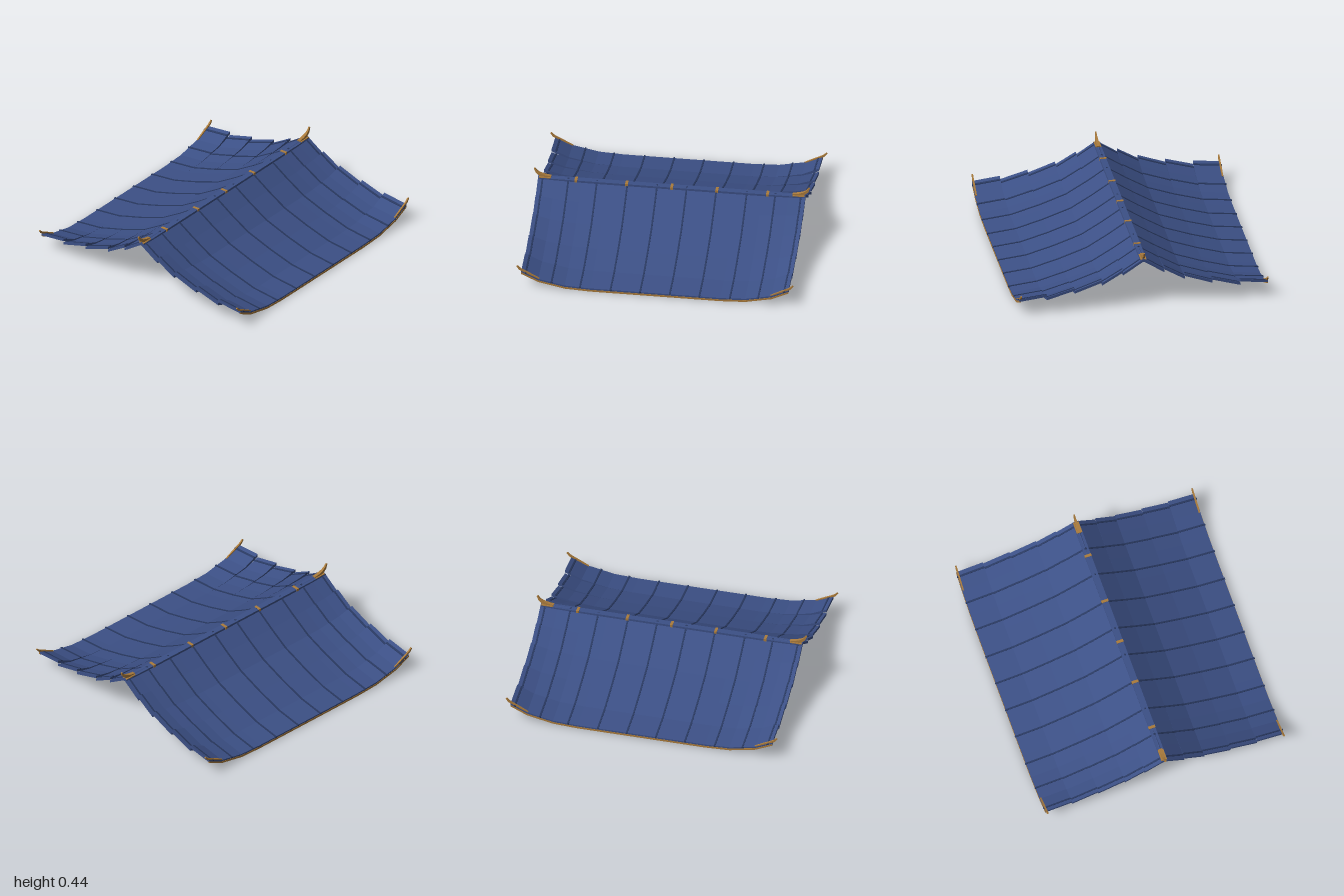
import * as THREE from 'three';

const blue = new THREE.MeshStandardMaterial({ color: 0x3c5086 });
blue.name = 'blue tile';
const navy = new THREE.MeshStandardMaterial({ color: 0x293961 });
navy.name = 'dark blue rib';
const gold = new THREE.MeshStandardMaterial({ color: 0xaa7b3c });
gold.name = 'gold trim';

// Underside profile from ridge to eave, and how far each course lifts at the ends
const PROFILE = [[0, 0.345], [0.15, 0.246], [0.3, 0.157], [0.5, 0.086], [0.7, 0.028], [0.9, 0.005]];
const LIFTS = [0.01, 0.033, 0.056, 0.08, 0.107];
const THICK = 0.02;
const CURVE = [[0, 0], [0.47, 0], [0.65, 0.08], [0.84, 0.45], [0.965, 1]];
const XS = [-0.963, -0.84, -0.65, -0.47, 0.47, 0.65, 0.84, 0.963];

// Upturn of the roof towards its ends, 0 to 1
function upturn(x) {
  const a = Math.abs(x);
  let i = 1;
  while (i < CURVE.length - 1 && a > CURVE[i][0]) i++;
  const [x0, y0] = CURVE[i - 1], [x1, y1] = CURVE[i];
  return y0 + (y1 - y0) * (a - x0) / (x1 - x0);
}

// Box bent along x: corner(i, top, outer) gives each section corner as [x, y, z]
function bentBox(sections, corner) {
  const n = sections - 1;
  const geo = new THREE.BoxGeometry(1, 1, 1, n, 1, 1);
  const p = geo.attributes.position;
  for (let k = 0; k < p.count; k++) {
    const i = Math.round((p.getX(k) + 0.5) * n);
    p.setXYZ(k, ...corner(i, p.getY(k) > 0, p.getZ(k) > 0));
  }
  const flat = geo.toNonIndexed();
  flat.computeVertexNormals();
  return flat;
}

// Slab over one course of the slope, between low and high above the underside
function courseSlab(xs, c, low, high, overhang = 0) {
  return bentBox(xs.length, (i, top, outer) => {
    const [z, y] = PROFILE[outer ? c + 1 : c];
    const last = outer && c === LIFTS.length - 1;
    return [xs[i], y + LIFTS[c] * upturn(xs[i]) + (top ? high : low), z + (last ? overhang : 0)];
  });
}

// Tapered curved horn, path points are [x, y, half height, half width]
function horn(path, z) {
  return bentBox(path.length, (i, top, outer) => {
    const [x, y, h, w] = path[i];
    const a = path[Math.max(i - 1, 0)], b = path[Math.min(i + 1, path.length - 1)];
    const d = Math.hypot(b[0] - a[0], b[1] - a[1]);
    const s = top ? h : -h;
    return [x - s * (b[1] - a[1]) / d, y + s * (b[0] - a[0]) / d, z + (outer ? w : -w)];
  });
}

function add(parent, name, geo, mat) {
  const mesh = new THREE.Mesh(geo, mat);
  mesh.name = name;
  parent.add(mesh);
  return mesh;
}

function createSlope(name) {
  const slope = new THREE.Group();
  slope.name = name;
  const ribXs = [0.107, 0.32, 0.54, 0.745, 0.93];
  for (let c = 0; c < LIFTS.length; c++) {
    add(slope, 'tileCourse', courseSlab(XS, c, 0, THICK), blue);
    for (const rx of ribXs) for (const s of [-1, 1]) {
      const x = rx * s;
      add(slope, 'rib', courseSlab([x - 0.006, x + 0.006], c, THICK - 0.006, THICK + 0.004, 0.006), navy);
    }
  }

  // Thin trim along the lower eave edge, following its upturn
  add(slope, 'eaveTrim', bentBox(XS.length, (i, top, outer) => [
    XS[i], 0.005 + LIFTS[4] * upturn(XS[i]) + (top ? 0.009 : -0.005), outer ? 0.902 : 0.891,
  ]), gold);

  // Upturned corner finials resting on the eave
  const path = [[0.835, 0.074, 0.004, 0.005], [0.9, 0.106, 0.006, 0.006], [0.95, 0.13, 0.007, 0.006],
    [0.975, 0.145, 0.007, 0.006], [0.995, 0.167, 0.005, 0.005]];
  for (const turn of [0, 1]) {
    const geo = horn(path, turn ? -0.893 : 0.893);
    if (turn) geo.rotateY(Math.PI);
    add(slope, 'cornerFinial', geo, gold);
  }
  return slope;
}

export function createModel() {
  const model = new THREE.Group();
  model.name = 'roof';

  const front = createSlope('frontSlope');
  const back = createSlope('backSlope');
  back.rotation.y = Math.PI;
  model.add(front, back);

  // Ridge cap with gold clips and small rib studs
  add(model, 'ridgeCap', new THREE.BoxGeometry(1.926, 0.016, 0.046), blue).position.y = 0.358;
  for (const x of [-0.69, -0.325, 0, 0.325, 0.69]) {
    add(model, 'ridgeClip', new THREE.BoxGeometry(0.02, 0.02, 0.05), gold).position.set(x, 0.359, 0);
  }
  for (const x of [-0.107, 0.107]) {
    add(model, 'ridgeStud', new THREE.BoxGeometry(0.012, 0.01, 0.012), navy).position.set(x, 0.363, 0);
  }

  // Curled finials at both ends of the ridge, each on a flat base
  const path = [[0.87, 0.37, 0.008, 0.012], [0.915, 0.374, 0.011, 0.012], [0.95, 0.386, 0.011, 0.01],
    [0.975, 0.405, 0.009, 0.007], [0.99, 0.433, 0.005, 0.005]];
  for (const turn of [0, 1]) {
    const geo = horn(path, 0);
    if (turn) geo.rotateY(Math.PI);
    add(model, 'ridgeFinial', geo, gold);
    const base = add(model, 'finialBase', new THREE.BoxGeometry(0.085, 0.016, 0.042), gold);
    base.position.set(turn ? -0.915 : 0.915, 0.363, 0);
  }
  return model;
}
